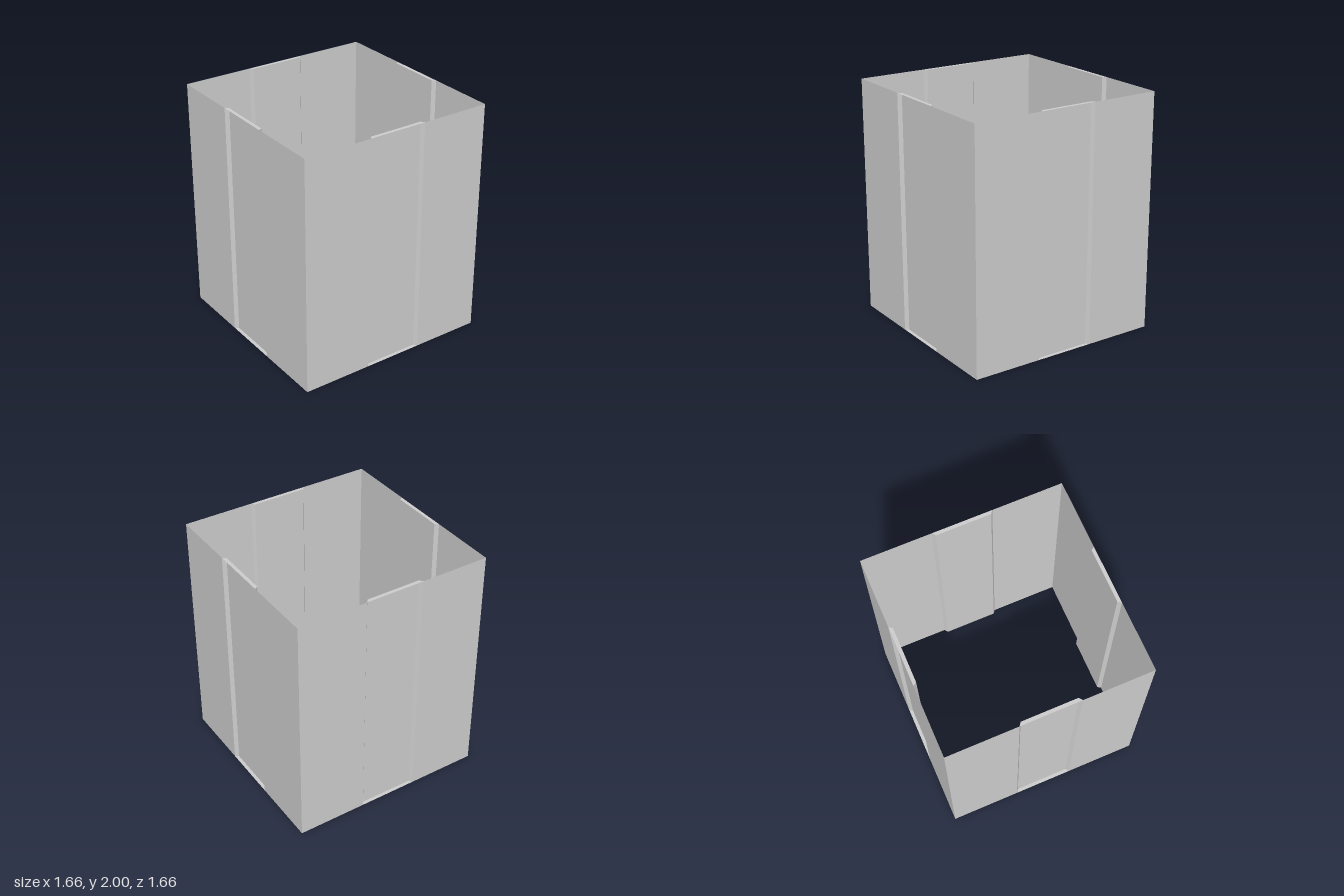
import * as THREE from 'three';

const HEIGHT = 2;
const OUTER = 0.832; // distance of the walls from the axis
const INNER = 0.803; // distance of the recessed panels
const MOUTH = 0.249; // half width of a groove at the wall
const FLOOR = 0.228; // half width of a groove at its panel

// Flat panel from corners given anticlockwise as seen from its front
function panel(name, corners, material) {
  const [a, b, c, d] = corners;
  const geometry = new THREE.BufferGeometry();
  geometry.setAttribute('position', new THREE.Float32BufferAttribute([a, b, c, a, c, d].flat(), 3));
  geometry.computeVertexNormals();
  const mesh = new THREE.Mesh(geometry, material);
  mesh.name = name;
  return mesh;
}

// One side of the sleeve, facing +z, with a bevelled groove down its middle
function createSide(name, lean, material) {
  const side = new THREE.Group();
  side.name = name;

  // Cross-section from left to right: x, z and how far the point leans
  const section = [
    [-OUTER, OUTER, 0],
    [-MOUTH, OUTER, lean],
    [-FLOOR, INNER, lean],
    [FLOOR, INNER, lean],
    [MOUTH, OUTER, lean],
    [OUTER, OUTER, 0],
  ];
  const bottom = section.map(([x, z, shift]) => [x + shift, 0, z]);
  const top = section.map(([x, z, shift]) => [x - shift, HEIGHT, z]);
  const names = ['wallStart', 'grooveBevelStart', 'groovePanel', 'grooveBevelEnd', 'wallEnd'];
  names.forEach((part, i) => {
    side.add(panel(part, [bottom[i], bottom[i + 1], top[i + 1], top[i]], material));
  });

  // Thin caps closing the groove at both ends
  side.add(panel('grooveTopCap', [top[1], top[4], top[3], top[2]], material));
  side.add(panel('grooveBottomCap', [bottom[1], bottom[2], bottom[3], bottom[4]], material));
  return side;
}

export function createModel() {
  const grey = new THREE.MeshStandardMaterial({ color: 0xcccccc, side: THREE.DoubleSide });
  grey.name = 'grey';

  const model = new THREE.Group();
  model.name = 'groovedSquareSleeve';
  ['frontSide', 'leftSide', 'backSide', 'rightSide'].forEach((name, i) => {
    const side = createSide(name, i === 0 ? 0.005 : 0, grey); // the front groove leans slightly
    side.rotation.y = (i * Math.PI) / 2;
    model.add(side);
  });
  return model;
}
